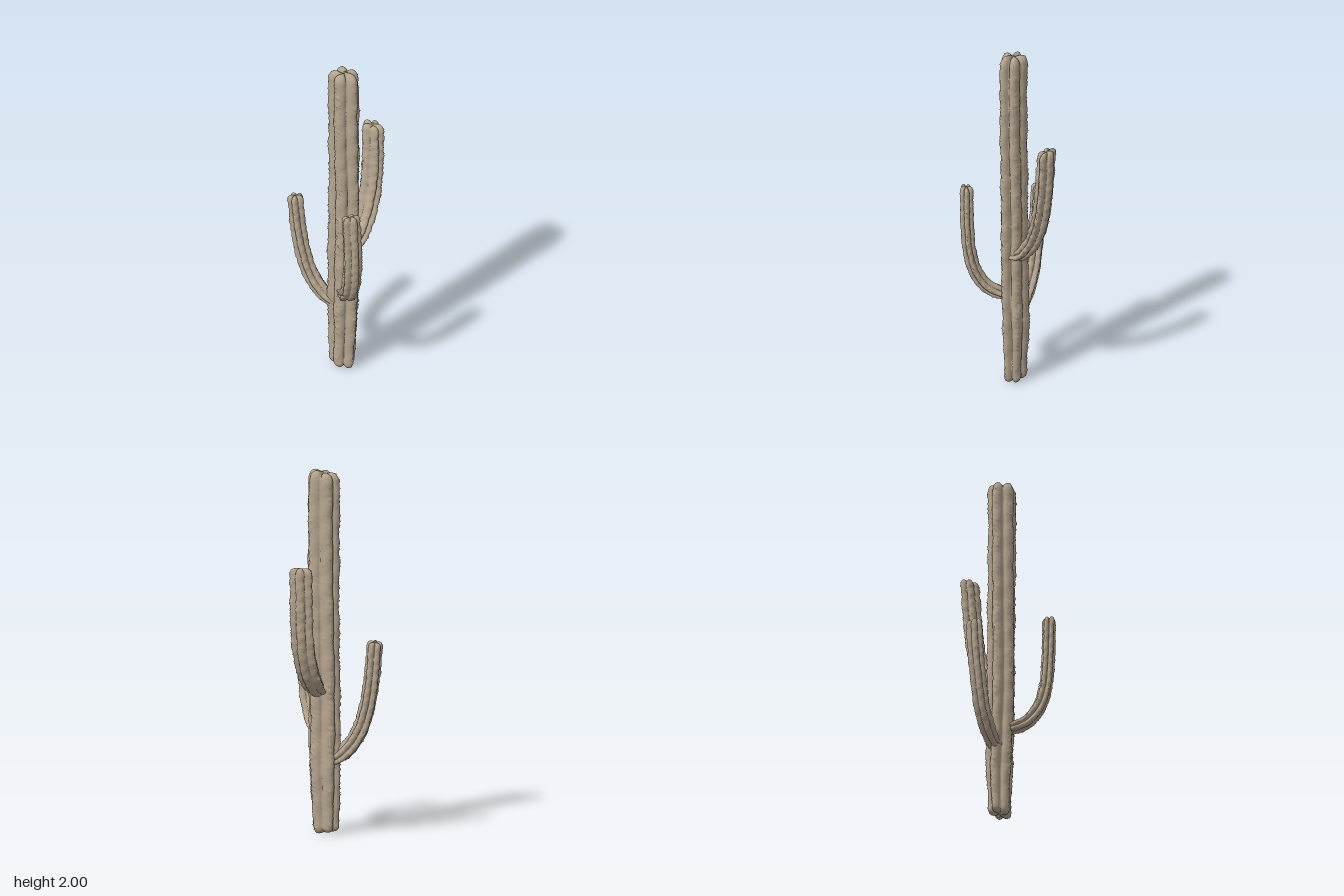
import * as THREE from 'three';

const RIBS = 5;
const material = new THREE.MeshStandardMaterial({ color: 0xb5a58f, side: THREE.DoubleSide });

// Small seeded random generator
function seeded(seed) {
  let s = seed;
  return () => {
    s = (s * 16807) % 2147483647;
    return s / 2147483647;
  };
}

// Ribbed limb swept along a path, closed at both ends by lobed caps.
// side: direction of the section's wide axis, ru/rv: its two radii
function ribbedLimb(name, { points, side, ru, rv, phase, cap, baseCap, baseScale, rings, seed }) {
  const curve = new THREE.CatmullRomCurve3(points.map((p) => new THREE.Vector3(...p)));
  const random = seeded(seed);
  const segments = 60;
  const capRings = 10;
  const wide = new THREE.Vector3(...side).normalize();

  // Each section: place on the path, radius scale, push along the path
  const sections = [];
  const addCap = (t, k, height) => {
    const a = (k / capRings) * Math.PI / 2;
    sections.push({ t, scale: Math.pow(Math.max(Math.cos(a), 0), 0.7), push: height * Math.sin(1.35 * a) });
  };
  for (let k = capRings; k > 0; k--) addCap(0, k, -baseCap);
  for (let i = 0; i <= rings; i++) sections.push({ t: i / rings, scale: 1, push: 0 });
  for (let k = 1; k <= capRings; k++) addCap(1, k, cap);

  const positions = [];
  const index = [];
  sections.forEach(({ t, scale, push }, i) => {
    const centre = curve.getPointAt(t);
    const T = curve.getTangentAt(t);
    const U = wide.clone().addScaledVector(T, -wide.dot(T)).normalize();
    const V = new THREE.Vector3().crossVectors(T, U);
    const grow = THREE.MathUtils.lerp(baseScale, 1, THREE.MathUtils.smoothstep(t, 0, 0.2));
    for (let j = 0; j < segments; j++) {
      const angle = (j / segments) * Math.PI * 2;
      const twist = 0.08 * Math.sin(t * 7 + seed);
      const crest = Math.abs(Math.cos((RIBS / 2) * (angle - phase - twist)));
      const lobe = Math.pow(crest, 0.65);
      // Rounded ribs, slow swelling, rough skin and spine bumps on the crests
      let r = 0.6 + 0.4 * lobe;
      r += 0.025 * Math.sin(t * 37 + angle * 2 + seed) + 0.02 * Math.sin(t * 83 - angle * 3);
      r += (random() - 0.5) * 0.035;
      if (crest > 0.9 && random() > 0.88) r += 0.07;
      r *= scale * grow;
      const along = push * (0.55 + 0.45 * lobe) * (1 - 0.12 * (1 + Math.sin(angle + seed)));
      const p = centre.clone()
        .addScaledVector(U, Math.cos(angle) * r * ru)
        .addScaledVector(V, Math.sin(angle) * r * rv)
        .addScaledVector(T, along);
      positions.push(p.x, p.y, p.z);
      if (i < sections.length - 1) {
        const a = i * segments + j;
        const b = i * segments + ((j + 1) % segments);
        index.push(a, b, a + segments, b, b + segments, a + segments);
      }
    }
  });

  const geometry = new THREE.BufferGeometry();
  geometry.setAttribute('position', new THREE.Float32BufferAttribute(positions, 3));
  geometry.setIndex(index);
  geometry.computeVertexNormals();
  const mesh = new THREE.Mesh(geometry, material);
  mesh.name = name;
  return mesh;
}

export function createModel() {
  const group = new THREE.Group();
  group.name = 'cactus';

  // Tall main stem with uneven rib ends at the foot
  group.add(ribbedLimb('trunk', {
    points: [[0.04, 0.04, 0.022], [0.044, 0.3, 0.018], [0.05, 0.7, 0.024], [0.056, 1.2, 0.022],
      [0.056, 1.6, 0.026], [0.055, 1.935, 0.026]],
    side: [1, 0, 0], ru: 0.092, rv: 0.067, phase: -0.26,
    cap: 0.066, baseCap: 0.042, baseScale: 0.84, rings: 220, seed: 11,
  }));

  // Low arm on the right
  group.add(ribbedLimb('rightArm', {
    points: [[0.02, 0.405, 0.025], [-0.03, 0.42, 0.03], [-0.09, 0.475, 0.04], [-0.15, 0.57, 0.048],
      [-0.19, 0.7, 0.055], [-0.217, 0.86, 0.058], [-0.232, 1.03, 0.06]],
    side: [0, 0, 1], ru: 0.044, rv: 0.045, phase: 0.4,
    cap: 0.04, baseCap: 0.02, baseScale: 0.8, rings: 110, seed: 23,
  }));

  // Arm reaching to the front left
  group.add(ribbedLimb('frontArm', {
    points: [[0.05, 0.52, 0.03], [0.09, 0.535, 0.075], [0.14, 0.575, 0.13], [0.185, 0.66, 0.175],
      [0.212, 0.78, 0.2], [0.222, 0.94, 0.212], [0.218, 1.16, 0.222]],
    side: [0.85, 0, -0.53], ru: 0.052, rv: 0.037, phase: 0.2,
    cap: 0.043, baseCap: 0.02, baseScale: 0.85, rings: 110, seed: 37,
  }));

  // High arm at the back
  group.add(ribbedLimb('backArm', {
    points: [[0.07, 0.785, 0.0], [0.073, 0.8, -0.04], [0.077, 0.85, -0.09], [0.083, 0.93, -0.14],
      [0.088, 1.05, -0.18], [0.09, 1.22, -0.205], [0.085, 1.455, -0.22]],
    side: [1, 0, 0], ru: 0.066, rv: 0.043, phase: 0.3,
    cap: 0.045, baseCap: 0.02, baseScale: 0.85, rings: 120, seed: 53,
  }));

  return group;
}
